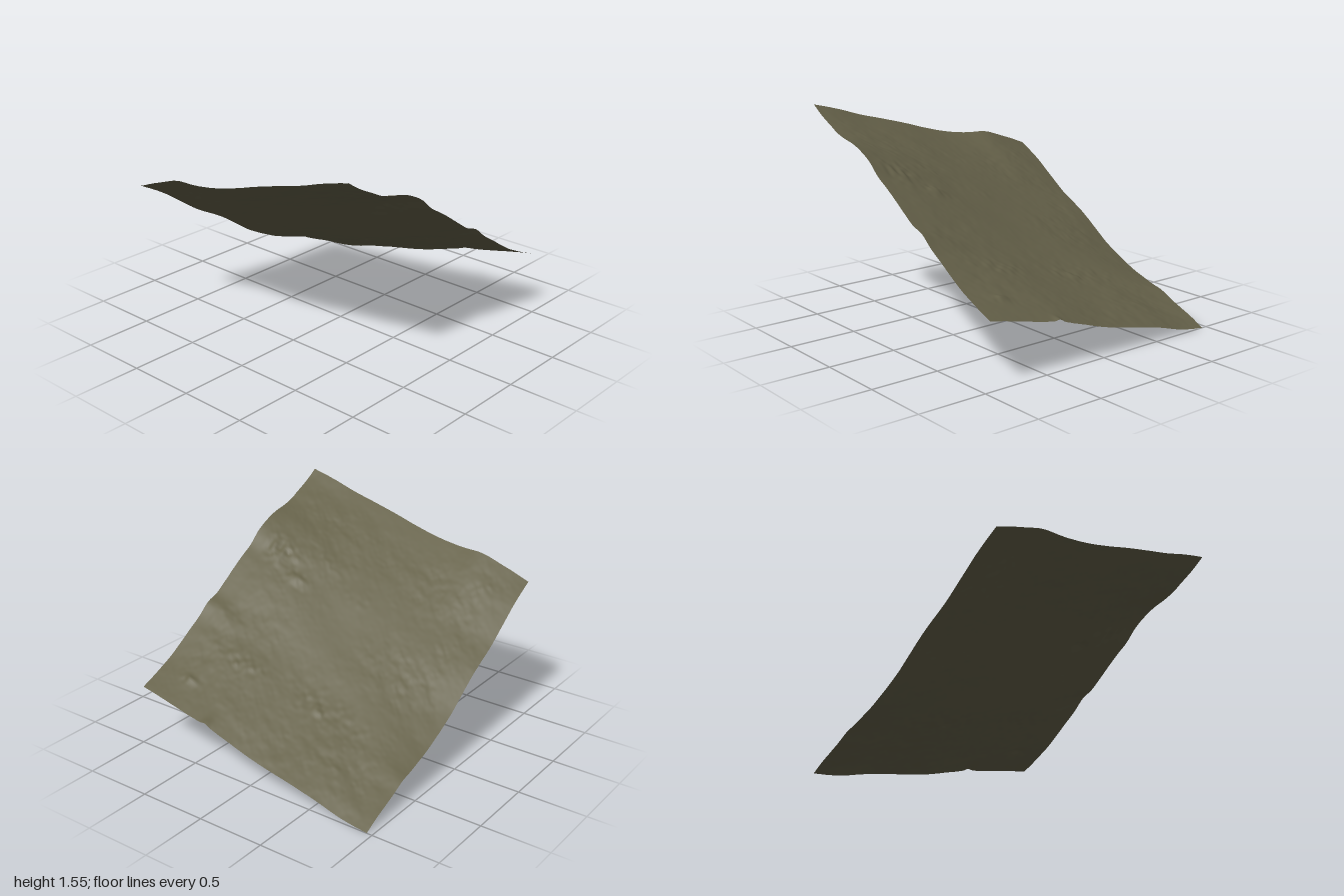
import * as THREE from 'three';

const HALF_Z = 0.96, SEG_X = 180, SEG_Z = 172;

// Edge heights; x edges run from -1 to 1, z edges from back to front
const frontEdge = [1.555, 1.49, 1.44, 1.392, 1.362, 1.342, 1.305, 1.25, 1.165, 1.105, 1.04,
  0.97, 0.905, 0.868, 0.787, 0.725, 0.66, 0.6, 0.55, 0.505, 0.465];
const backEdge = [1.065, 1.012, 0.955, 0.885, 0.815, 0.745, 0.69, 0.638, 0.575, 0.505, 0.435,
  0.378, 0.33, 0.285, 0.25, 0.217, 0.19, 0.142, 0.1, 0.057, 0.005];
const rightEdge = [1.065, 1.135, 1.194, 1.207, 1.237, 1.285, 1.343, 1.395, 1.445, 1.505, 1.555];
const leftEdge = [0.005, 0.035, 0.088, 0.135, 0.175, 0.22, 0.28, 0.34, 0.38, 0.425, 0.465];

// Broad shape of an edge, with its small bumps averaged out
function soften(list) {
  let out = list;
  const passes = list.length > 15 ? 12 : 3;
  for (let n = 0; n < passes; n++) {
    out = out.map((h, i) => (i === 0 || i === out.length - 1) ? h
      : (out[i - 1] + 2 * h + out[i + 1]) / 4);
  }
  return out;
}

// Smooth interpolation along evenly spaced heights
function sample(list, t) {
  const f = t * (list.length - 1);
  const i = Math.min(Math.floor(f), list.length - 2), u = f - i;
  const b = list[i], c = list[i + 1];
  const a = list[i - 1] ?? 2 * b - c, d = list[i + 2] ?? 2 * c - b;
  return b + 0.5 * u * (c - a + u * (2 * a - 5 * b + 4 * c - d + u * (3 * (b - c) + d - a)));
}

// An edge as its broad shape plus bumps that fade out inside the sheet
function makeEdge(list) {
  const broad = soften(list), bumps = list.map((h, i) => h - broad[i]);
  return {
    broad: (t) => sample(broad, t),
    bump: (t, distance) => sample(bumps, t) * Math.max(0, 1 - distance / 0.4) ** 2,
  };
}
const front = makeEdge(frontEdge), back = makeEdge(backEdge);
const right = makeEdge(rightEdge), left = makeEdge(leftEdge);

// Seeded value noise in the range -1 to 1
function hash(i, j) {
  let n = Math.imul(i, 374761393) + Math.imul(j, 668265263) + 1274126177;
  n = Math.imul(n ^ (n >>> 13), 1103515245);
  return ((n ^ (n >>> 16)) >>> 0) / 2147483648 - 1;
}
function noise(x, y) {
  const i = Math.floor(x), j = Math.floor(y);
  const u = (x - i) ** 2 * (3 - 2 * (x - i)), v = (y - j) ** 2 * (3 - 2 * (y - j));
  const mix = THREE.MathUtils.lerp;
  return mix(mix(hash(i, j), hash(i + 1, j), u), mix(hash(i, j + 1), hash(i + 1, j + 1), u), v);
}

// Local rocky outcrops: x, z, radius in x, radius in z, height
const outcrops = [
  [-0.28, 0.74, 0.09, 0.16, 0.022], [-0.17, 0.5, 0.05, 0.09, 0.016],
  [0.79, 0.72, 0.03, 0.07, 0.024], [0.46, -0.25, 0.08, 0.25, 0.014],
  [0.5, 0.5, 0.07, 0.2, 0.012], [0.95, -0.48, 0.03, 0.04, 0.014],
  [-0.3, 0.03, 0.06, 0.08, 0.01], [-0.4, 0.35, 0.06, 0.12, 0.009],
  [-0.78, -0.75, 0.08, 0.12, 0.01], [0.3, 0.82, 0.1, 0.08, 0.008],
];

function groundHeight(x, z) {
  const u = (x + 1) / 2, v = (z + HALF_Z) / (2 * HALF_Z);
  // Blend the broad shapes of the four edges
  const along = (1 - v) * back.broad(u) + v * front.broad(u);
  const across = (1 - u) * right.broad(v) + u * left.broad(v);
  const corners = (1 - v) * ((1 - u) * backEdge[0] + u * backEdge[20])
    + v * ((1 - u) * frontEdge[0] + u * frontEdge[20]);
  const bumps = back.bump(u, v) + front.bump(u, 1 - v) + right.bump(v, u) + left.bump(v, 1 - u);
  // Keep the relief away from the outer edges
  const inset = Math.min(1, 8 * Math.min(u, 1 - u, v, 1 - v));
  // Diagonal step running down the middle of the slope
  const s = (x - 0.24 + 0.3 * z - 0.2 * z * z) / 0.14;
  let relief = -0.012 * s * Math.exp(-s * s / 2);
  // Shallow hollow below the upper back corner
  relief -= 0.016 * Math.exp(-(((x + 0.55) / 0.3) ** 2) - ((z + 0.5) / 0.3) ** 2);
  relief += 0.004 * noise(x * 4 + z * 1.5, z * 2.5 + 7);
  // Fine roughness, stronger in patches
  const patch = 0.65 + 0.5 * noise(x * 3 + 17, z * 2 + 3);
  const fine = 0.005 * noise(x * 10 + z * 3, z * 7 + 31)
    + 0.0034 * noise(x * 22 + z * 5, z * 15 + 53) + 0.0018 * noise(x * 45, z * 36 + 11);
  for (const [cx, cz, rx, rz, h] of outcrops) {
    const d = ((x - cx) / rx) ** 2 + ((z - cz) / rz) ** 2;
    relief += Math.exp(-d) * h * (0.5 + 0.6 * noise(x * 28 + 5, z * 24));
  }
  // Small rock on the lower edge
  const rock = 0.014 * Math.exp(-(((x - 1) / 0.05) ** 2) - ((z - 0.39) / 0.03) ** 2);
  return along + across - corners + bumps + rock + inset * relief + (0.3 + 0.7 * inset) * patch * fine;
}

export function createModel() {
  const group = new THREE.Group();
  group.name = 'hillside';
  const earth = new THREE.MeshStandardMaterial({ color: 0x66624a, side: THREE.DoubleSide });
  earth.name = 'olive earth';

  // Sloping ground sheet
  const geometry = new THREE.PlaneGeometry(2, 2 * HALF_Z, SEG_X, SEG_Z).rotateX(-Math.PI / 2);
  const p = geometry.attributes.position;
  for (let i = 0; i < p.count; i++) {
    p.setY(i, Math.max(0, groundHeight(p.getX(i), p.getZ(i))));
  }
  geometry.computeVertexNormals();
  const ground = new THREE.Mesh(geometry, earth);
  ground.name = 'ground';
  group.add(ground);
  return group;
}
